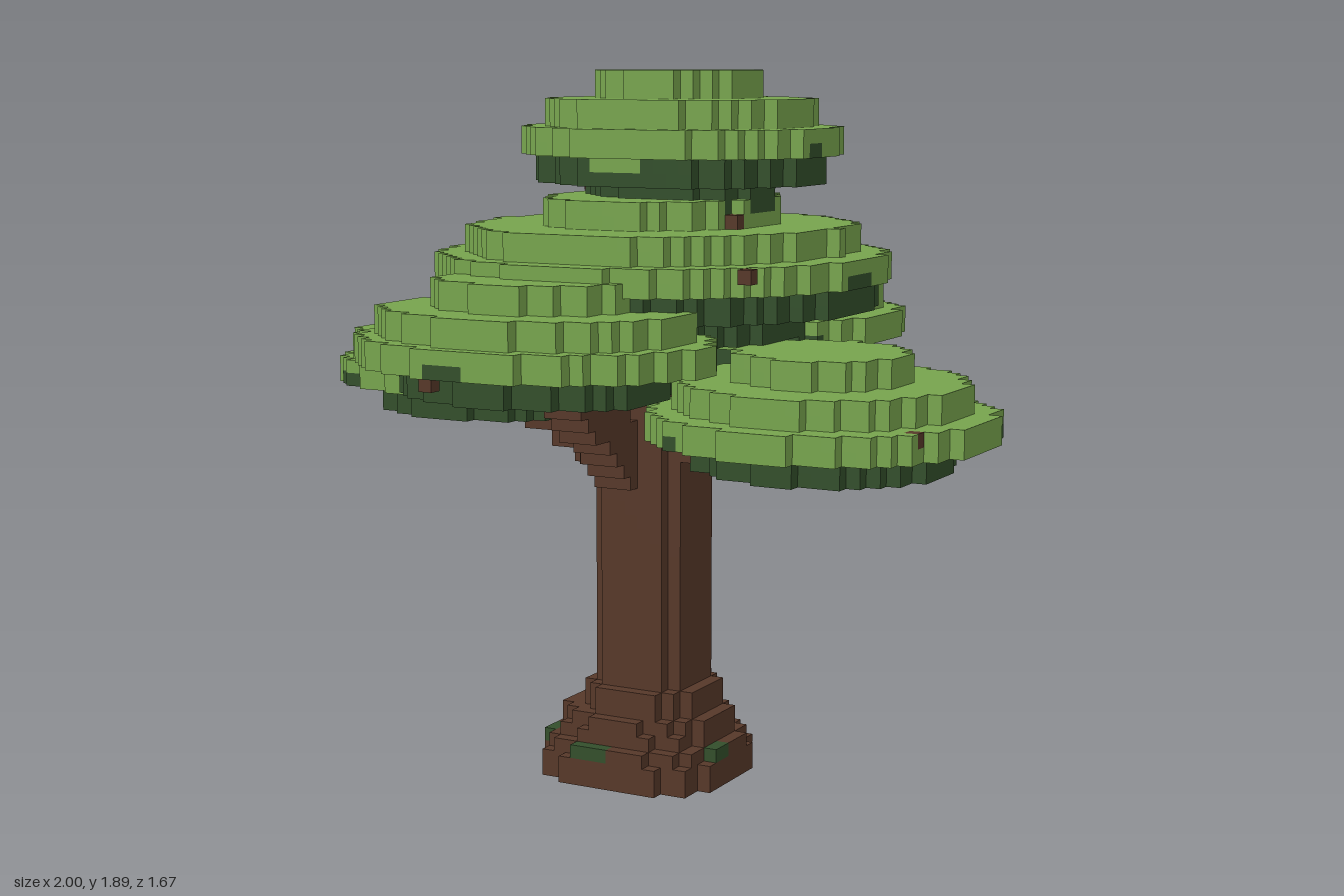
import * as THREE from 'three';

const V = 2 / 55; // edge length of one block

export function createModel() {
  const mats = {
    leaf: new THREE.MeshStandardMaterial({ color: 0x79a74f }),
    shade: new THREE.MeshStandardMaterial({ color: 0x34502c }),
    bark: new THREE.MeshStandardMaterial({ color: 0x58392a }),
  };
  mats.leaf.name = 'leaf green';
  mats.shade.name = 'shaded leaf green';
  mats.bark.name = 'bark brown';

  // Block grid: each filled cell remembers its part and colour
  const cells = new Map();
  const key = (i, j, k) => `${i},${j},${k}`;
  const put = (i, j, k, part, mat) => {
    const id = key(i, j, k);
    if (!cells.has(id)) cells.set(id, { i, j, k, part, mat });
  };
  const paint = (x, y, z, part, mat) => {
    const i = Math.round(x / V), j = Math.floor(y / V), k = Math.floor(z / V);
    cells.set(key(i, j, k), { i, j, k, part, mat });
  };

  // Fills rows j0..j1 with a (tilted) superellipse; pick(row, angle) gives the colour
  function disc(part, cx, cz, rx, rz, j0, j1, pick, power = 2, tilt = 0) {
    for (let i = -27; i <= 27; i++) {
      for (let k = -23; k <= 22; k++) {
        const a = (i * V - cx) / rx, b = ((k + 0.5) * V - cz) / rz;
        const d = Math.abs(a) ** power + Math.abs(b) ** power - 2 * tilt * a * b;
        if (d > 1 - tilt * tilt) continue;
        for (let j = j0; j <= j1; j++) put(i, j, k, part, pick(j, Math.atan2(b, a)));
      }
    }
  }

  // Leaf pads: stacked two-row discs, green on top and shaded below
  const pads = [
    { part: 'crownTop', c: [0.052, -0.065], r: [0.44, 0.405], top: 51, tilt: 0.15,
      sx: [0.5, 0.83, 1, 0.91, 0.6], sz: [0.6, 0.92, 1, 0.91, 0.52] },
    { part: 'crownMiddle', c: [0.018, -0.04], r: [0.585, 0.585], top: 42,
      sx: [0.5, 0.84, 1, 0.93, 0.64], sz: [0.57, 0.9, 1, 0.93, 0.64] },
    { part: 'frontPad', c: [-0.06, 0.495], r: [0.465, 0.34], top: 37, sx: [0.55, 0.87, 1, 0.75] },
    { part: 'backPad', c: [0.07, -0.43], r: [0.415, 0.405], top: 37, power: 2.3, sx: [0.63, 0.87, 1, 0.74] },
    { part: 'rightPad', c: [-0.57, -0.15], r: [0.43, 0.36], top: 33, power: 2.4,
      sx: [0.57, 0.92, 1, 0.71], sz: [0.6, 0.92, 1, 0.79] },
    { part: 'leftPad', c: [0.56, 0.13], r: [0.44, 0.445], top: 32, tilt: 0.06, sx: [0.5, 0.83, 1, 0.74] },
  ];
  pads.forEach(({ part, c, r, top, power, tilt, sx, sz = sx }, n) => {
    sx.forEach((s, m) => {
      const hi = top - 2 * m, lo = hi - 1;
      // Ragged border between the two greens
      const pick = (j, a) => {
        const wave = Math.sin(3 * a + n * 1.7) + Math.sin(7 * a + n);
        if (m < 2) return 'leaf';
        if (m === 2) return j === lo && wave > 1.5 ? 'shade' : 'leaf';
        return n === 0 && m === 3 && j === hi && wave < -0.9 ? 'leaf' : 'shade';
      };
      disc(part, c[0], c[1], r[0] * s, r[1] * sz[m], lo, hi, pick, power, tilt);
    });
  });

  // Trunk with a flared, stepped foot; moss grows on its third row
  const bark = () => 'bark';
  const mossArcs = [[1.6, 2.05], [2.65, 2.95], [0.15, 0.35], [-2.4, -1.7]];
  const mossy = (j, a) => (mossArcs.some(([from, to]) => a > from && a < to) ? 'shade' : 'bark');
  disc('trunkFoot', -0.02, -0.018, 0.258, 0.24, 0, 1, bark, 2.7);
  disc('trunkFoot', -0.02, -0.018, 0.258, 0.24, 2, 2, mossy, 2.2);
  disc('trunkFoot', -0.018, -0.018, 0.22, 0.2, 3, 3, bark, 2.5);
  disc('trunkFoot', -0.018, -0.018, 0.22, 0.2, 4, 4, bark, 1.9);
  disc('trunkFoot', 0, -0.018, 0.167, 0.165, 5, 5, bark, 2.7);
  disc('trunkFoot', 0, -0.018, 0.167, 0.165, 6, 6, bark, 2);
  disc('trunk', 0, -0.015, 0.13, 0.13, 7, 17, bark, 3);
  disc('trunk', 0, -0.015, 0.13, 0.13, 18, 44, bark, 2.5);

  // Branches: three-block-thick lines rising into the pads
  const branches = [
    ['rightBranch', [-0.08, 0.87, -0.02], [-0.5, 1.03, -0.13]],
    ['leftBranch', [0.08, 0.94, 0], [0.45, 1.02, 0.1]],
    ['frontBranch', [-0.04, 0.85, 0.08], [-0.04, 1.15, 0.42]],
    ['backBranch', [0.02, 1.0, -0.08], [0.17, 1.13, -0.32]],
  ];
  for (const [part, a, b] of branches) {
    for (let t = 0; t <= 1; t += 0.04) {
      const [x, y, z] = a.map((p, n) => p + (b[n] - p) * t);
      const i = Math.round(x / V), j = Math.floor(y / V), k = Math.floor(z / V);
      for (let u = -1; u <= 1; u++)
        for (let v = -1; v <= 1; v++)
          for (let w = -1; w <= 1; w++) put(i + u, j + v, k + w, part, 'bark');
    }
  }

  // Twig ends poking out of the leaves
  const twigs = [
    [0.47, 1.4, 0.38], [0.91, 1.04, 0.38], [0.29, 1.51, 0.09], [-0.29, 1.59, -0.19],
    [-0.18, 1.16, 0.78], [-0.18, 1.19, 0.78], [-0.51, 1.16, 0.47], [-0.51, 1.26, 0.2],
    [-0.14, 1.08, -0.6],
  ];
  for (const [x, y, z] of twigs) paint(x, y, z, 'twigs', 'bark');

  // Mossy spot under the foot
  for (const x of [-0.07, -0.036])
    for (const z of [-0.09, -0.05]) paint(x, 0.01, z, 'trunkFoot', 'shade');

  // Only the exposed faces of the blocks become geometry
  const axes = [[0, 1, 2], [1, 2, 0], [2, 0, 1]];
  const surfaces = new Map();
  for (const { i, j, k, part, mat } of cells.values()) {
    const id = `${part}|${mat}`;
    if (!surfaces.has(id)) surfaces.set(id, { part, mat, pos: [], nor: [] });
    const out = surfaces.get(id);
    const centre = [i * V, (j + 0.5) * V, (k + 0.5) * V];
    for (const [n, a, b] of axes) {
      for (const side of [1, -1]) {
        const step = [0, 0, 0];
        step[n] = side;
        if (cells.has(key(i + step[0], j + step[1], k + step[2]))) continue;
        const corner = (u, v) => {
          const p = [...centre];
          p[n] += side * V / 2;
          p[a] += u * side * V / 2;
          p[b] += v * V / 2;
          return p;
        };
        const q = [corner(-1, -1), corner(1, -1), corner(1, 1), corner(-1, 1)];
        for (const c of [0, 1, 2, 0, 2, 3]) {
          out.pos.push(...q[c]);
          out.nor.push(...step);
        }
      }
    }
  }

  const tree = new THREE.Group();
  tree.name = 'blockTree';
  for (const { part, mat, pos, nor } of surfaces.values()) {
    if (!pos.length) continue;
    const geo = new THREE.BufferGeometry();
    geo.setAttribute('position', new THREE.Float32BufferAttribute(pos, 3));
    geo.setAttribute('normal', new THREE.Float32BufferAttribute(nor, 3));
    const mesh = new THREE.Mesh(geo, mats[mat]);
    mesh.name = mat !== 'shade' ? part : part === 'trunkFoot' ? 'moss' : `${part}Underside`;
    tree.add(mesh);
  }
  return tree;
}
